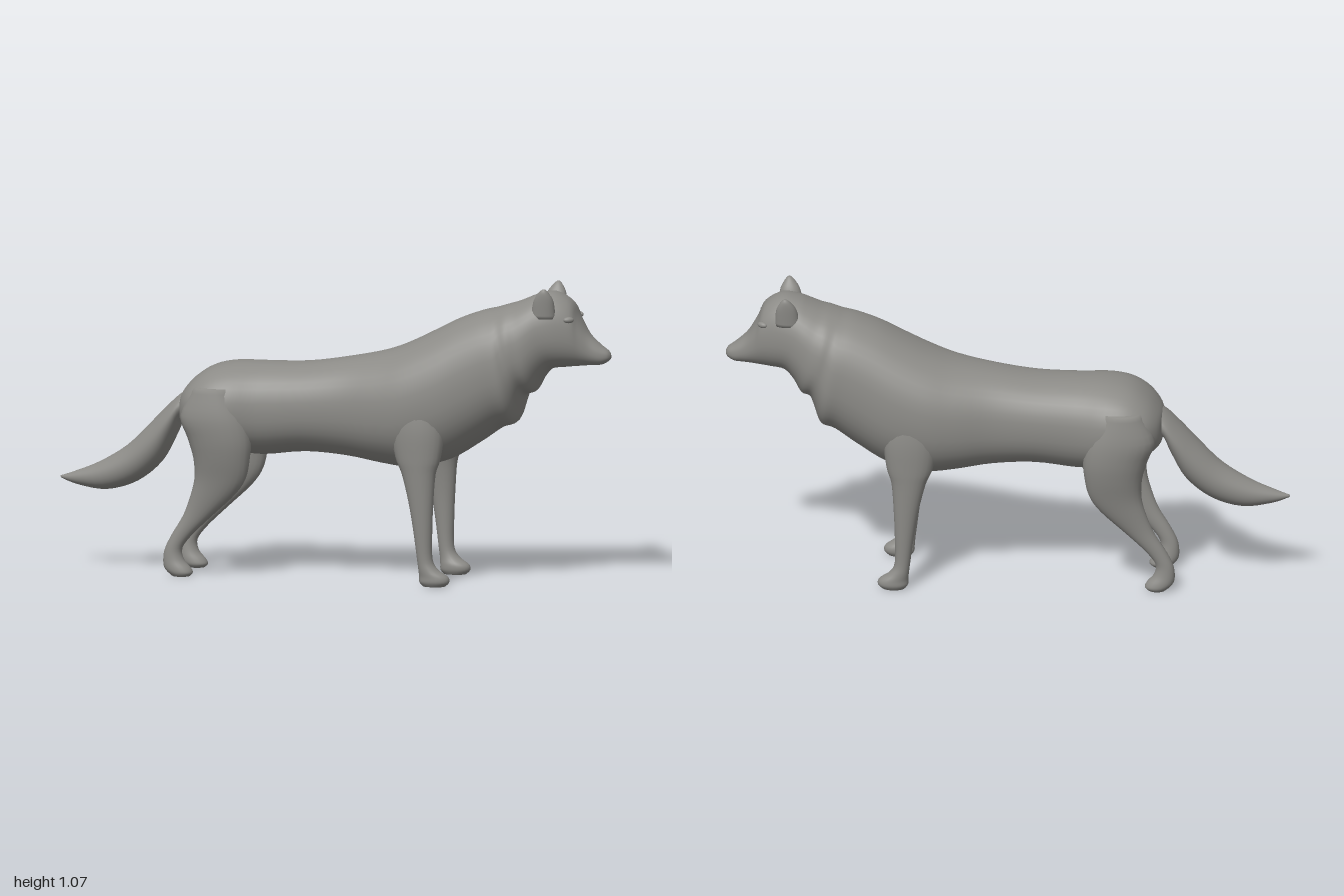
import * as THREE from 'three';

// Uniform Catmull-Rom resampling of rows of numbers
function resample(rows, sub) {
  const out = [];
  const at = (i) => rows[Math.min(Math.max(i, 0), rows.length - 1)];
  for (let i = 0; i < rows.length - 1; i++) {
    for (let s = 0; s < sub; s++) {
      const t = s / sub;
      out.push(rows[i].map((p1, k) => {
        const p0 = at(i - 1)[k], p2 = at(i + 1)[k], p3 = at(i + 2)[k];
        return p1 + 0.5 * t * (p2 - p0 + t * (2 * p0 - 5 * p1 + 4 * p2 - p3 + t * (3 * (p1 - p2) + p3 - p0)));
      }));
    }
  }
  out.push(rows[rows.length - 1]);
  return out;
}

// Smooth closed skin over rings { c: centre, u, v: half axes }, with u x v pointing forward
function loft(rings, power = 2.2, sides = 32) {
  const pos = [], index = [];
  const bend = (n) => Math.sign(n) * Math.abs(n) ** (2 / power);
  for (const { c, u, v } of rings) {
    for (let j = 0; j < sides; j++) {
      const a = (j / sides) * Math.PI * 2;
      const p = c.clone().addScaledVector(u, bend(Math.cos(a))).addScaledVector(v, bend(Math.sin(a)));
      pos.push(p.x, p.y, p.z);
    }
  }
  const last = (rings.length - 1) * sides, start = rings.length * sides;
  pos.push(...rings[0].c.toArray(), ...rings[rings.length - 1].c.toArray());
  for (let j = 0; j < sides; j++) {
    const k = (j + 1) % sides;
    for (let r = 0; r < last; r += sides) {
      index.push(r + j, r + k, r + sides + j, r + k, r + sides + k, r + sides + j);
    }
    index.push(start, k, j, start + 1, last + j, last + k);
  }
  const geo = new THREE.BufferGeometry();
  geo.setAttribute('position', new THREE.Float32BufferAttribute(pos, 3));
  geo.setIndex(index);
  geo.computeVertexNormals();
  return geo;
}

// Rows: top x, top y, bottom x, bottom y, half width; listed towards +x
const spineLoft = (rows, power) => loft(resample(rows, 4).map(([tx, ty, bx, by, w]) => ({
  c: new THREE.Vector3((tx + bx) / 2, (ty + by) / 2, 0),
  u: new THREE.Vector3((tx - bx) / 2, (ty - by) / 2, 0),
  v: new THREE.Vector3(0, 0, w),
})), power, 40);

// Rows: y, back x, front x, inner z, outer z; listed downwards
const limbLoft = (rows, side) => loft(resample(rows, 4).map(([y, x0, x1, z0, z1]) => ({
  c: new THREE.Vector3((x0 + x1) / 2, y, side * (z0 + z1) / 2),
  u: new THREE.Vector3((x1 - x0) / 2, 0, 0),
  v: new THREE.Vector3(0, 0, (z1 - z0) / 2),
})), 2.1, 24);

// Rump, trunk, folded neck ruff, skull and muzzle
const BODY = [
  [-0.555, 0.63, -0.55, 0.57, 0.03], [-0.54, 0.66, -0.545, 0.53, 0.11],
  [-0.5, 0.705, -0.5, 0.49, 0.17], [-0.44, 0.743, -0.42, 0.46, 0.196],
  [-0.36, 0.76, -0.34, 0.44, 0.195], [-0.25, 0.762, -0.25, 0.432, 0.173],
  [-0.1, 0.766, -0.1, 0.447, 0.168], [0.05, 0.788, 0.05, 0.437, 0.172],
  [0.18, 0.815, 0.18, 0.415, 0.197], [0.27, 0.848, 0.29, 0.405, 0.211],
  [0.36, 0.892, 0.42, 0.435, 0.208], [0.45, 0.938, 0.53, 0.5, 0.195],
  [0.53, 0.968, 0.61, 0.555, 0.186], [0.58, 0.98, 0.66, 0.575, 0.182],
  [0.6, 0.986, 0.685, 0.64, 0.17], [0.63, 0.995, 0.7, 0.677, 0.166],
  [0.66, 1.004, 0.73, 0.688, 0.156], [0.7, 1.02, 0.757, 0.735, 0.143],
  [0.74, 1.036, 0.79, 0.77, 0.128], [0.8, 1.045, 0.84, 0.778, 0.11],
  [0.86, 1.012, 0.88, 0.782, 0.089], [0.885, 0.96, 0.91, 0.785, 0.071],
  [0.92, 0.9, 0.94, 0.787, 0.053], [0.96, 0.862, 0.97, 0.79, 0.04],
  [0.99, 0.84, 0.992, 0.802, 0.025], [1, 0.825, 1, 0.812, 0.008],
];

// Tail from tip to root
const TAIL = [
  [-1, 0.328, -0.998, 0.32, 0.004], [-0.95, 0.345, -0.935, 0.298, 0.026],
  [-0.86, 0.382, -0.83, 0.285, 0.053], [-0.76, 0.443, -0.72, 0.318, 0.071],
  [-0.68, 0.52, -0.63, 0.392, 0.083], [-0.61, 0.592, -0.577, 0.49, 0.086],
  [-0.55, 0.645, -0.545, 0.555, 0.08], [-0.47, 0.69, -0.47, 0.57, 0.06],
];

const FRONT_LEG = [
  [0.7, 0.27, 0.4, 0.12, 0.195], [0.57, 0.24, 0.43, 0.1, 0.212],
  [0.46, 0.255, 0.42, 0.11, 0.211], [0.4, 0.28, 0.402, 0.123, 0.208],
  [0.3, 0.305, 0.394, 0.133, 0.203], [0.2, 0.322, 0.39, 0.137, 0.198],
  [0.1, 0.335, 0.39, 0.138, 0.193], [0.06, 0.34, 0.41, 0.134, 0.195],
  [0.035, 0.342, 0.445, 0.125, 0.197], [0.015, 0.343, 0.45, 0.125, 0.197],
  [0, 0.355, 0.435, 0.133, 0.188],
];

const HIND_LEG = [
  [0.68, -0.48, -0.34, 0.08, 0.195], [0.58, -0.53, -0.29, 0.07, 0.21],
  [0.5, -0.505, -0.275, 0.07, 0.207], [0.43, -0.485, -0.28, 0.08, 0.195],
  [0.36, -0.482, -0.295, 0.085, 0.178], [0.3, -0.495, -0.335, 0.09, 0.165],
  [0.22, -0.525, -0.42, 0.092, 0.15], [0.15, -0.567, -0.493, 0.092, 0.143],
  [0.1, -0.592, -0.53, 0.09, 0.142], [0.06, -0.599, -0.525, 0.085, 0.145],
  [0.03, -0.595, -0.5, 0.08, 0.15], [0.012, -0.58, -0.493, 0.08, 0.15],
  [0, -0.565, -0.505, 0.09, 0.142],
];

const EAR = [
  [1.066, 0.777, 0.788, 0.108, 0.118], [1.052, 0.762, 0.8, 0.094, 0.123],
  [1.02, 0.742, 0.815, 0.075, 0.123], [0.96, 0.73, 0.82, 0.06, 0.118],
];

export function createModel() {
  const model = new THREE.Group();
  model.name = 'wolf';
  const fur = new THREE.MeshStandardMaterial({ color: 0x8c8b87 });
  fur.name = 'grey fur';
  const add = (name, geo) => {
    const mesh = new THREE.Mesh(geo, fur);
    mesh.name = name;
    model.add(mesh);
    return mesh;
  };

  add('bodyAndHead', spineLoft(BODY, 2.3));
  add('tail', spineLoft(TAIL, 2));

  // Paired parts
  for (const [side, label] of [[1, 'right'], [-1, 'left']]) {
    add(`${label}FrontLeg`, limbLoft(FRONT_LEG, side));
    add(`${label}HindLeg`, limbLoft(HIND_LEG, side));
    add(`${label}Ear`, limbLoft(EAR, side));
    const eye = add(`${label}Eye`, new THREE.SphereGeometry(1, 16, 10));
    eye.scale.set(0.02, 0.011, 0.012);
    eye.position.set(0.865, 0.955, side * 0.08);
    eye.rotation.y = side * 0.55;
  }
  return model;
}
